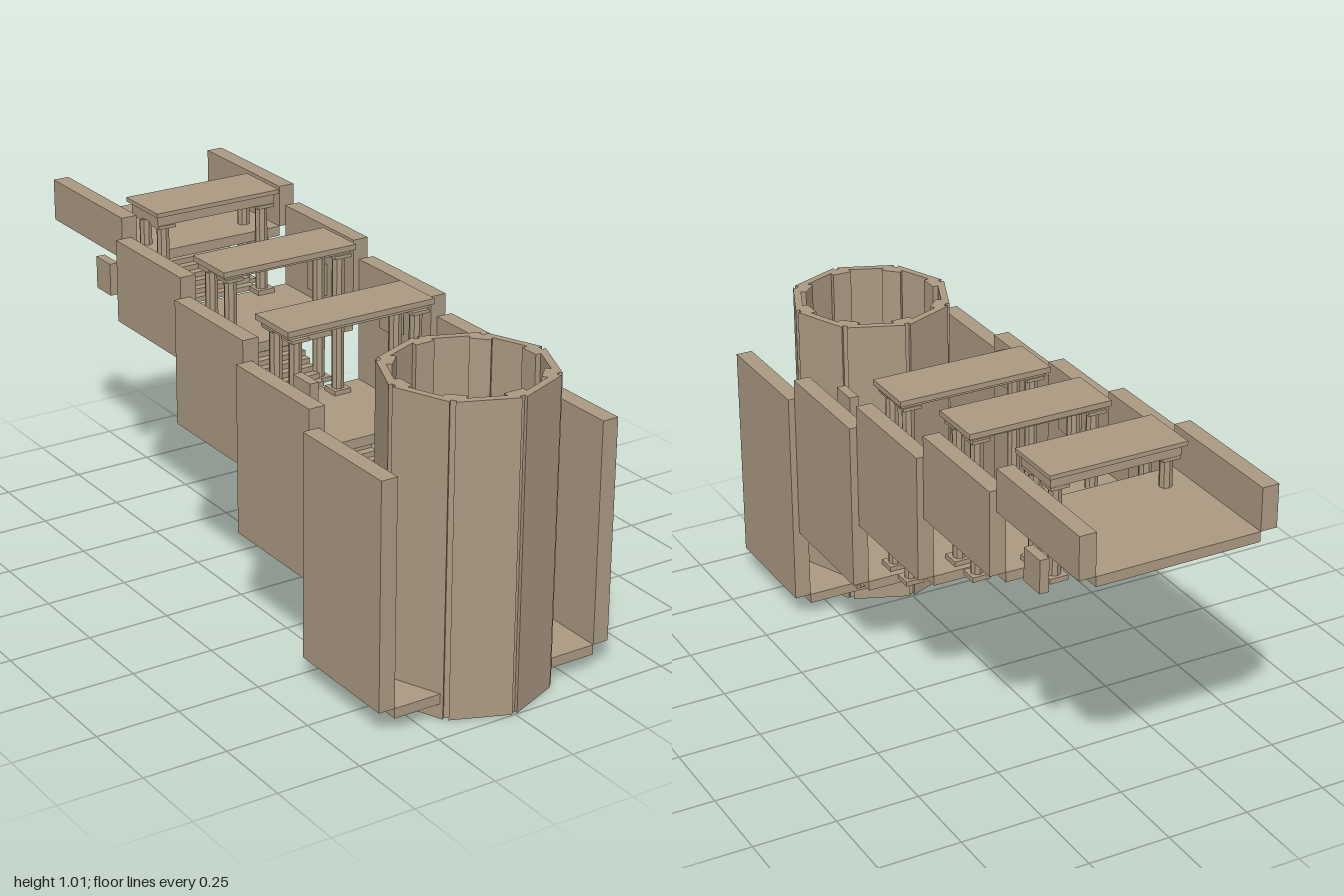
import * as THREE from 'three';

const stone = new THREE.MeshStandardMaterial({ color: 0xab9a83 });
stone.name = 'sandstone';
const water = new THREE.MeshStandardMaterial({ color: 0x4a9aa0 });
water.name = 'teal water';

function add(parent, name, geometry, material = stone) {
  const mesh = new THREE.Mesh(geometry, material);
  mesh.name = name;
  parent.add(mesh);
  return mesh;
}

// Box given by its limits on each axis
function box(parent, name, x0, x1, y0, y1, z0, z1) {
  const g = new THREE.BoxGeometry(x1 - x0, y1 - y0, z1 - z0);
  g.translate((x0 + x1) / 2, (y0 + y1) / 2, (z0 + z1) / 2);
  return add(parent, name, g);
}

// Octagon outline; corner lists [radius, sideways] points around each corner
function cornerOutline(corner) {
  const points = [];
  for (let k = 0; k < 8; k++) {
    const a = (k * Math.PI) / 4, c = Math.cos(a), s = Math.sin(a);
    for (const [r, t] of corner) points.push(new THREE.Vector2(r * c - t * s, r * s + t * c));
  }
  return points;
}

// Hollow well tower: grooves on the outer corners, pilasters on the inner ones
function makeTower() {
  const tower = new THREE.Group();
  tower.name = 'wellTower';
  const slope = Math.tan(Math.PI / 8);
  const g = 0.008, p = 0.03;
  const outer = 0.25 - g * slope, inner = 0.226 - p * slope;
  const shape = new THREE.Shape(cornerOutline([[outer, -g], [0.235, -g], [0.235, g], [outer, g]]));
  shape.holes.push(new THREE.Path(cornerOutline([[inner, -p], [0.197, -p], [0.197, p], [inner, p]])));
  const wall = new THREE.ExtrudeGeometry(shape, { depth: 0.92, bevelEnabled: false });
  wall.rotateX(-Math.PI / 2);
  add(tower, 'towerWall', wall);
  const pool = new THREE.CylinderGeometry(0.222, 0.222, 0.006, 8);
  pool.rotateY(Math.PI / 4);
  add(tower, 'waterSurface', pool, water).position.y = 0.012;
  tower.position.z = 0.75;
  return tower;
}

// Terraces from the lowest to the highest
const terraces = [
  { front: 0.91, back: 0.54, floor: 0.075, top: 0.745, half: 0.33 },
  { front: 0.54, back: 0.17, floor: 0.297, top: 0.805, half: 0.31 },
  { front: 0.17, back: -0.2, floor: 0.49, top: 0.87, half: 0.288 },
  { front: -0.2, back: -0.575, floor: 0.68, top: 0.933, half: 0.268 },
  { front: -0.575, back: -1, floor: 0.87, top: 0.997, half: 0.247 },
];

function makeTerrace({ front, back, floor, top, half }) {
  const terrace = new THREE.Group();
  terrace.name = 'terrace';
  box(terrace, 'floorSlab', -half, half, floor - 0.03, floor, back, front);
  box(terrace, 'leftWall', half, half + 0.05, floor, top, back, front);
  box(terrace, 'rightWall', -half - 0.05, -half, floor, top, back, front);
  return terrace;
}

// Ten overlapping treads climbing from one floor to the underside of the next
function makeStairs(lower, upper, halfWidth) {
  const stairs = new THREE.Group();
  stairs.name = 'stairs';
  const rise = (upper.floor - 0.03 - lower.floor) / 10;
  for (let i = 0; i < 10; i++) {
    const y = lower.floor + i * rise;
    const z = upper.front - 0.022 - i * 0.0255;
    box(stairs, 'step', -halfWidth, halfWidth, y, y + rise, z - 0.015, z + 0.015);
  }
  return stairs;
}

// Pavilion: four columns with bases and capitals under a beam and roof slab
function makePavilion({ base, beam, slab, top, half, front, back, columnX, columnZ }) {
  const pavilion = new THREE.Group();
  pavilion.name = 'pavilion';
  box(pavilion, 'roofSlab', -half, half, slab, top, back, front);
  box(pavilion, 'roofBeam', -half + 0.01, half - 0.01, beam, slab, back + 0.015, front - 0.015);
  for (const z of columnZ) {
    for (const x of [-columnX, columnX]) {
      box(pavilion, 'columnBase', x - 0.028, x + 0.028, base, base + 0.015, z - 0.028, z + 0.028);
      box(pavilion, 'capital', x - 0.028, x + 0.028, beam - 0.01, beam, z - 0.028, z + 0.028);
      const height = beam - base - 0.025;
      const shaft = new THREE.CylinderGeometry(0.019, 0.019, height, 8).toNonIndexed();
      shaft.computeVertexNormals();
      add(pavilion, 'column', shaft).position.set(x, base + 0.015 + height / 2, z);
    }
  }
  return pavilion;
}

const pavilions = [
  { base: 0.297, beam: 0.87, slab: 0.883, top: 0.9, half: 0.243, front: 0.25, back: 0.08, columnX: 0.2, columnZ: [0.22, 0.118] },
  { base: 0.49, beam: 0.926, slab: 0.937, top: 0.954, half: 0.223, front: -0.118, back: -0.292, columnX: 0.183, columnZ: [-0.152, -0.257] },
  { base: 0.68, beam: 0.965, slab: 0.997, top: 1.01, half: 0.21, front: -0.518, back: -0.702, columnX: 0.17, columnZ: [-0.557, -0.66] },
];

export function createModel() {
  const model = new THREE.Group();
  model.name = 'stepwell';
  model.add(makeTower());
  terraces.forEach((t) => model.add(makeTerrace(t)));
  for (let i = 1; i < terraces.length; i++) {
    model.add(makeStairs(terraces[i - 1], terraces[i], 0.2 - i * 0.01));
  }
  pavilions.forEach((p) => model.add(makePavilion(p)));

  // Small wall niches in a row along both sides
  for (const z of [0.375, 0.005, -0.365 - 0.02, -0.732]) {
    for (const x of [-0.265, 0.265]) {
      box(model, 'nicheBlock', x - 0.014, x + 0.014, 0.715, 0.815, z - 0.042, z + 0.042);
    }
  }
  return model;
}
